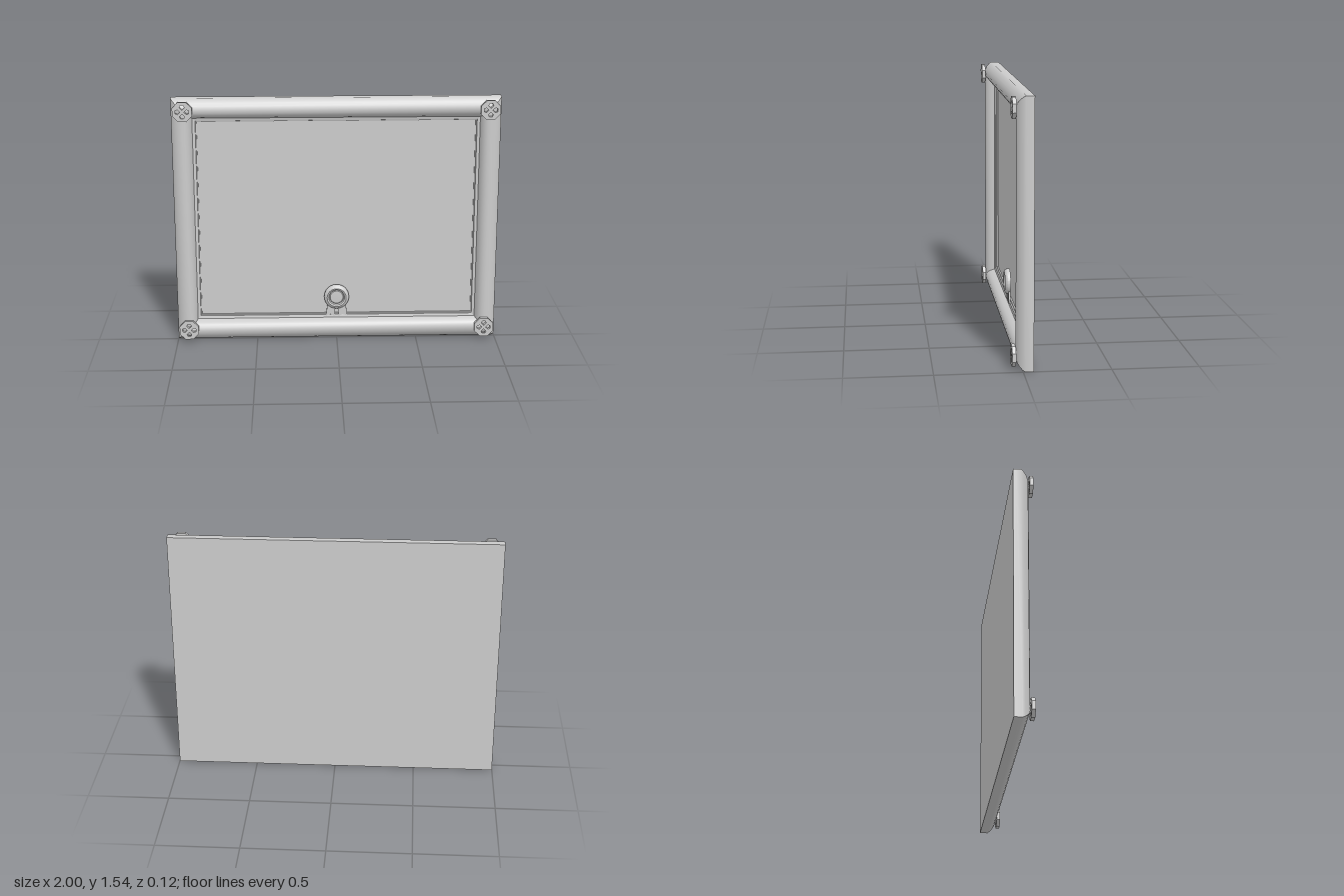
import * as THREE from 'three';
import { toCreasedNormals } from 'three/addons/utils/BufferGeometryUtils.js';

const H = 1.545;
const grey = new THREE.MeshStandardMaterial({ color: 0xcccccc });
grey.name = 'plain grey';

function part(name, geometry, x = 0, y = 0, z = 0) {
  const mesh = new THREE.Mesh(geometry, grey);
  mesh.name = name;
  mesh.position.set(x, y, z);
  return mesh;
}

// Moulding cross-section: inset from the outer edge, height in z
const profile = [
  [0, -0.045], [0, -0.012], [0.01, 0.004], [0.025, 0.019], [0.043, 0.03], [0.065, 0.036],
  [0.085, 0.033], [0.1, 0.024], [0.112, 0.01], [0.12, -0.008], [0.125, -0.022],
  [0.143, -0.026], [0.145, -0.034], [0.15, -0.036], [0.15, -0.046],
];

// Corner of the rectangle shrunk by an inset, counter-clockwise from the front
function corner(i, inset) {
  const sx = [-1, 1, 1, -1][i % 4], sy = [-1, -1, 1, 1][i % 4];
  return [sx * (1 - inset), H / 2 + sy * (H / 2 - inset)];
}

// One mitred rail swept between two neighbouring corners
function rail(i) {
  const positions = [], index = [];
  profile.forEach(([inset, z], k) => {
    positions.push(...corner(i, inset), z, ...corner(i + 1, inset), z);
    if (k) {
      const a = 2 * k - 2;
      index.push(a, a + 1, a + 3, a, a + 3, a + 2);
    }
  });
  const geometry = new THREE.BufferGeometry();
  geometry.setAttribute('position', new THREE.Float32BufferAttribute(positions, 3));
  geometry.setIndex(index);
  return toCreasedNormals(geometry, 0.65);
}

// Octagonal corner stud with four diamond openings
function rosetteGeometry() {
  const shape = new THREE.Shape();
  for (let i = 0; i < 8; i++) {
    const a = (i + 0.5) * Math.PI / 4;
    shape[i ? 'lineTo' : 'moveTo'](0.064 * Math.cos(a), 0.064 * Math.sin(a));
  }
  shape.closePath();
  for (let i = 0; i < 4; i++) {
    const a = i * Math.PI / 2, hole = new THREE.Path();
    [[0.012, 0], [0.027, -0.015], [0.041, -0.009], [0.041, 0.009], [0.027, 0.015]].forEach(([r, t], k) => {
      const x = r * Math.cos(a) - t * Math.sin(a), y = r * Math.sin(a) + t * Math.cos(a);
      hole[k ? 'lineTo' : 'moveTo'](x, y);
    });
    hole.closePath();
    shape.holes.push(hole);
  }
  return new THREE.ExtrudeGeometry(shape, { depth: 0.022, bevelEnabled: false });
}

// Round seal with a raised ring and a low domed centre
function sealGeometry() {
  const points = [
    [0.078, 0], [0.078, 0.018], [0.071, 0.029], [0.06, 0.034], [0.05, 0.03],
    [0.045, 0.018], [0.04, 0.022], [0, 0.024],
  ].map(([r, h]) => new THREE.Vector2(r, h));
  const geometry = new THREE.LatheGeometry(points, 24);
  geometry.rotateX(Math.PI / 2);
  return toCreasedNormals(geometry, 0.6);
}

// Ribbon tail with a notched end, spreading to one side
function tailGeometry(side) {
  const shape = new THREE.Shape([
    [0.005, 0], [0.05, 0], [0.068, -0.128], [0.038, -0.118], [0.012, -0.132],
  ].map(([x, y]) => new THREE.Vector2(side * x, y)));
  return new THREE.ExtrudeGeometry(shape, { depth: 0.01, bevelEnabled: false });
}

export function createModel() {
  const model = new THREE.Group();
  model.name = 'framedPlaque';

  // Backing panel, also the flat surface seen inside the frame
  model.add(part('backPanel', new THREE.BoxGeometry(2, H, 0.015), 0, H / 2, -0.0525));

  // Frame
  const frame = new THREE.Group();
  frame.name = 'frame';
  ['bottomRail', 'leftRail', 'topRail', 'rightRail'].forEach((name, i) => frame.add(part(name, rail(i))));
  model.add(frame);

  // Corner studs on short pins
  const rosette = rosetteGeometry();
  const pin = new THREE.CylinderGeometry(0.012, 0.012, 0.03, 8).rotateX(Math.PI / 2);
  for (const x of [-0.927, 0.927]) {
    for (const y of [0.078, H - 0.07]) {
      model.add(part('cornerRosette', rosette, x, y, 0.038));
      model.add(part('rosettePin', pin, x, y, 0.04));
    }
  }

  // Seal and its ribbon tails
  const seal = new THREE.Group();
  seal.name = 'seal';
  seal.position.set(0, 0.265, -0.045);
  seal.add(part('sealDisc', sealGeometry(), 0, 0, 0.014));
  for (const side of [-1, 1]) seal.add(part('ribbonTail', tailGeometry(side), 0, 0, 0.016));
  model.add(seal);

  return model;
}
